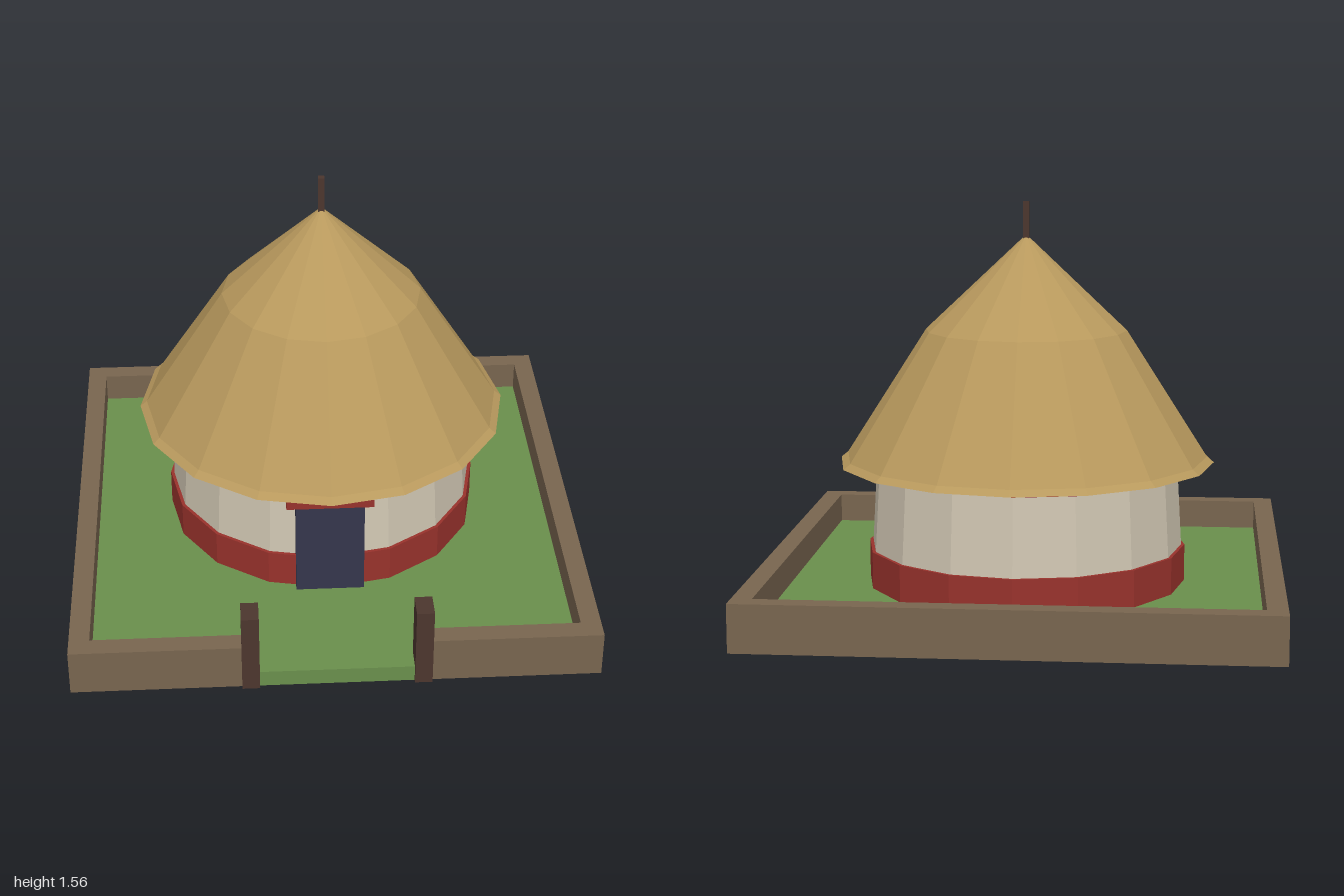
import * as THREE from 'three';

const SIDES = 16;
const HUT_Z = -0.107;

function material(name, color) {
  const m = new THREE.MeshStandardMaterial({ color });
  m.name = name;
  m.flatShading = true;
  return m;
}

export function createModel() {
  const thatch = material('thatch', 0xb8995d);
  const mud = material('mud brown', 0x78654f);
  const grass = material('grass green', 0x6a8f4c);
  const plaster = material('plaster', 0xd0c6b2);
  const red = material('red trim', 0x98322c);
  const indigo = material('door indigo', 0x35364c);
  const wood = material('dark wood', 0x4c362e);

  const model = new THREE.Group();
  model.name = 'roundHutWithYard';

  const add = (parent, name, geometry, mat) => {
    const mesh = new THREE.Mesh(geometry, mat);
    mesh.name = name;
    parent.add(mesh);
    return mesh;
  };
  // Box given by its limits on each axis
  const box = (parent, name, mat, [x0, x1], [y0, y1], [z0, z1]) => {
    const mesh = add(parent, name, new THREE.BoxGeometry(x1 - x0, y1 - y0, z1 - z0), mat);
    mesh.position.set((x0 + x1) / 2, (y0 + y1) / 2, (z0 + z1) / 2);
  };
  // Faceted drum between two heights
  const drum = (parent, name, mat, rBottom, rTop, y0, y1) => {
    const mesh = add(parent, name, new THREE.CylinderGeometry(rTop, rBottom, y1 - y0, SIDES), mat);
    mesh.position.y = (y0 + y1) / 2;
  };

  // Yard: ground and the strip through the gateway
  const yard = new THREE.Group();
  yard.name = 'yard';
  model.add(yard);
  box(yard, 'ground', grass, [-0.916, 0.916], [0, 0.065], [-0.923, 0.908]);
  box(yard, 'gateway', grass, [-0.32, 0.32], [0, 0.065], [0.908, 0.985]);

  // Low enclosure wall with a gap at the front
  box(yard, 'backWall', mud, [-0.993, 0.993], [0, 0.182], [-1, -0.923]);
  for (const [side, s] of [['left', 1], ['right', -1]]) {
    const span = (a, b) => (s > 0 ? [a, b] : [-b, -a]);
    box(yard, side + 'Wall', mud, span(0.916, 0.993), [0, 0.182], [-0.923, 0.985]);
    box(yard, side + 'FrontWall', mud, span(0.32, 0.916), [0, 0.182], [0.908, 0.985]);
    box(yard, side + 'GatePost', wood, span(0.289, 0.355), [0, 0.325], [0.9, 1]);
  }

  // Hut body
  const hut = new THREE.Group();
  hut.name = 'hut';
  hut.position.z = HUT_Z;
  model.add(hut);
  drum(hut, 'plinth', red, 0.62, 0.62, 0.08, 0.222);
  drum(hut, 'wall', plaster, 0.607, 0.59, 0.222, 0.522);
  drum(hut, 'topBand', red, 0.6, 0.6, 0.522, 0.55);

  // Doorway
  box(hut, 'door', indigo, [-0.132, 0.132], [0.08, 0.47], [0.55, 0.627]);
  box(hut, 'lintel', red, [-0.168, 0.168], [0.468, 0.527], [0.565, 0.632]);

  // Thatched roof: closed underside, flared eave, two slopes
  const profile = [[0, 0.55], [0.73, 0.55], [0.703, 0.572], [0.39, 1.062], [0, 1.43]]
    .map(([r, y]) => new THREE.Vector2(r, y));
  const roof = new THREE.LatheGeometry(profile, SIDES).toNonIndexed();
  roof.computeVertexNormals();
  add(hut, 'roof', roof, thatch);
  box(hut, 'finial', wood, [-0.012, 0.012], [1.4, 1.557], [-0.012, 0.012]);

  return model;
}
